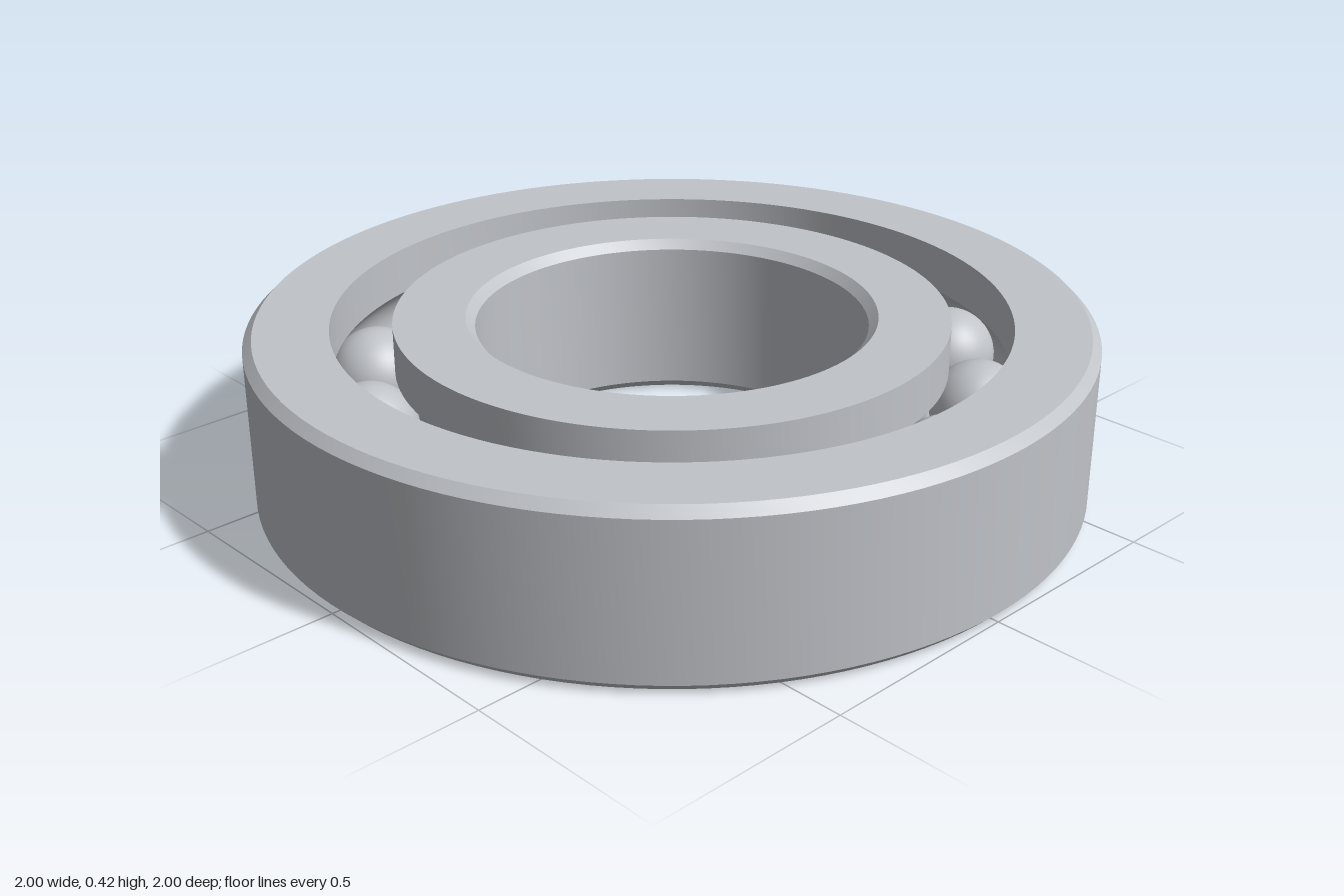
import * as THREE from 'three';
import { toCreasedNormals } from 'three/addons/utils/BufferGeometryUtils.js';

const HEIGHT = 0.417, MID = HEIGHT / 2, CHAMFER = 0.022;
const BORE = 0.465, INNER_LAND = 0.657, OUTER_LAND = 0.802, RIM = 1;
const PITCH = 0.73, BALL = 0.115, GROOVE = 0.117, BALLS = 14;

// Ball groove: an arc about the pitch circle, from one angle to another
function groove(from, to, steps = 14) {
  return Array.from({ length: steps + 1 }, (_, i) => {
    const a = from + (to - from) * i / steps;
    return [PITCH + GROOVE * Math.cos(a), MID + GROOVE * Math.sin(a)];
  });
}

// Turn a closed profile, counter-clockwise in (radius, height)
function ring(name, profile, material) {
  const points = [...profile, profile[0]].map(([r, y]) => new THREE.Vector2(r, y));
  const geometry = toCreasedNormals(new THREE.LatheGeometry(points, 128), Math.PI / 6);
  const mesh = new THREE.Mesh(geometry, material);
  mesh.name = name;
  return mesh;
}

export function createModel() {
  const model = new THREE.Group();
  model.name = 'ballBearing';
  const steel = new THREE.MeshStandardMaterial({ color: 0xc0c3c8 });
  steel.name = 'steel';

  // Outer ring: chamfered rim outside, groove inside
  const outerAngle = Math.acos((OUTER_LAND - PITCH) / GROOVE);
  model.add(ring('outerRing', [
    [OUTER_LAND, 0], [RIM - CHAMFER, 0], [RIM, CHAMFER],
    [RIM, HEIGHT - CHAMFER], [RIM - CHAMFER, HEIGHT], [OUTER_LAND, HEIGHT],
    ...groove(outerAngle, -outerAngle),
  ], steel));

  // Inner ring: groove outside, chamfered bore inside
  const innerAngle = Math.acos((PITCH - INNER_LAND) / GROOVE);
  model.add(ring('innerRing', [
    [BORE + CHAMFER, 0], [INNER_LAND, 0],
    ...groove(Math.PI + innerAngle, Math.PI - innerAngle).map(([r, y]) => [r, y]),
    [INNER_LAND, HEIGHT], [BORE + CHAMFER, HEIGHT],
    [BORE, HEIGHT - CHAMFER], [BORE, CHAMFER],
  ], steel));

  // Balls, evenly spaced around the pitch circle
  const balls = new THREE.Group();
  balls.name = 'balls';
  const sphere = new THREE.SphereGeometry(BALL, 40, 24);
  for (let i = 0; i < BALLS; i++) {
    const a = i / BALLS * Math.PI * 2;
    const ball = new THREE.Mesh(sphere, steel);
    ball.name = 'ball';
    ball.position.set(PITCH * Math.cos(a), MID, PITCH * Math.sin(a));
    balls.add(ball);
  }
  model.add(balls);
  return model;
}
